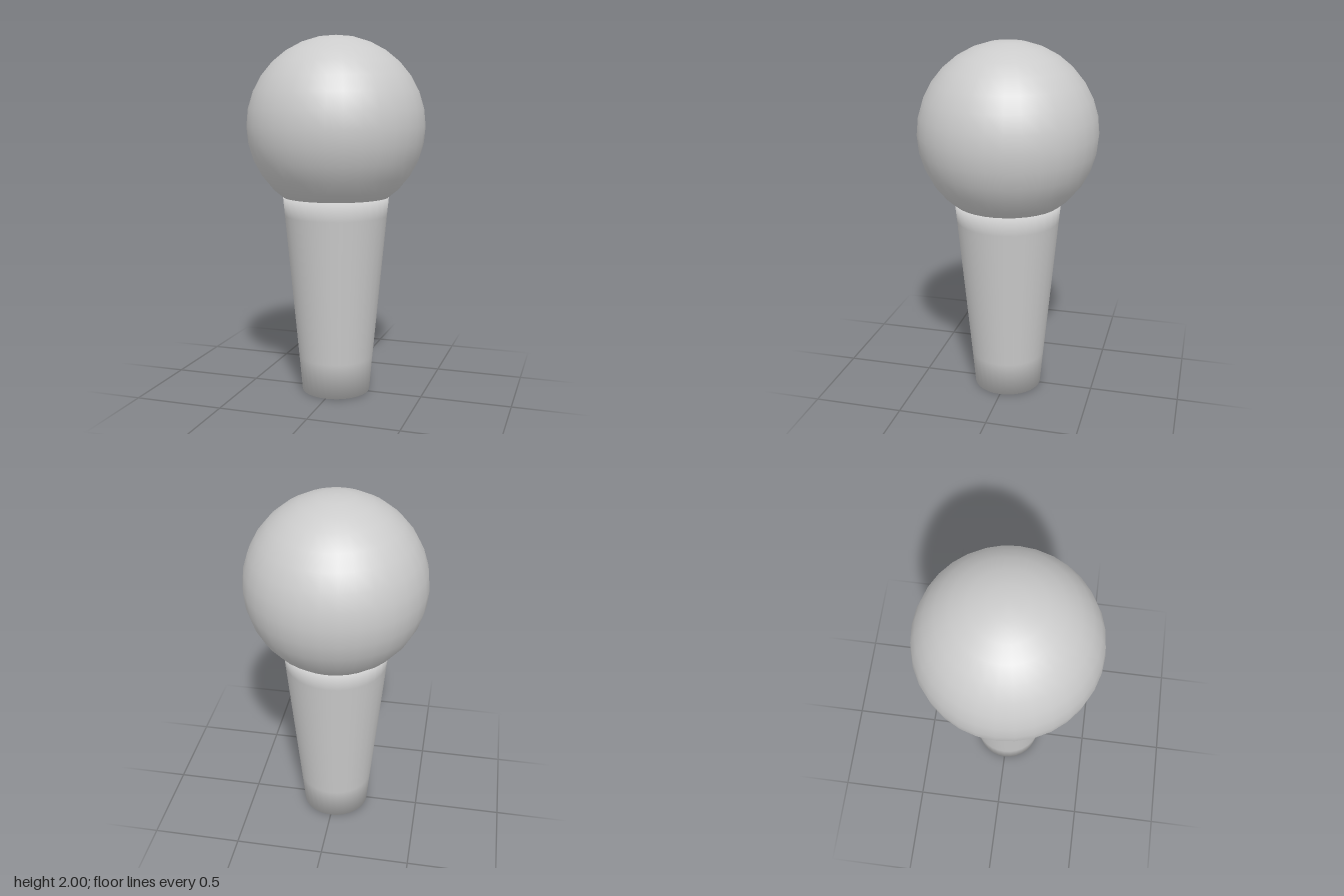
import * as THREE from 'three';

const SIDES = 32;

export function createModel() {
  const model = new THREE.Group();
  const material = new THREE.MeshStandardMaterial({ color: 0xcccccc });

  // Tapered handle, closed at both ends, with softly shaded rims
  const profile = [
    [0, 0], [0.192, 0], [0.21, 0.2], [0.286, 1.01], [0.296, 1.115], [0, 1.115],
  ].map(([r, y]) => new THREE.Vector2(r, y));
  const handle = new THREE.Mesh(new THREE.LatheGeometry(profile, SIDES), material);
  handle.name = 'handle';
  model.add(handle);

  // Round head resting in the top of the handle
  const radius = 0.493;
  const head = new THREE.Mesh(new THREE.SphereGeometry(radius, SIDES, SIDES / 2), material);
  head.name = 'head';
  head.position.y = 2 - radius;
  model.add(head);

  return model;
}
